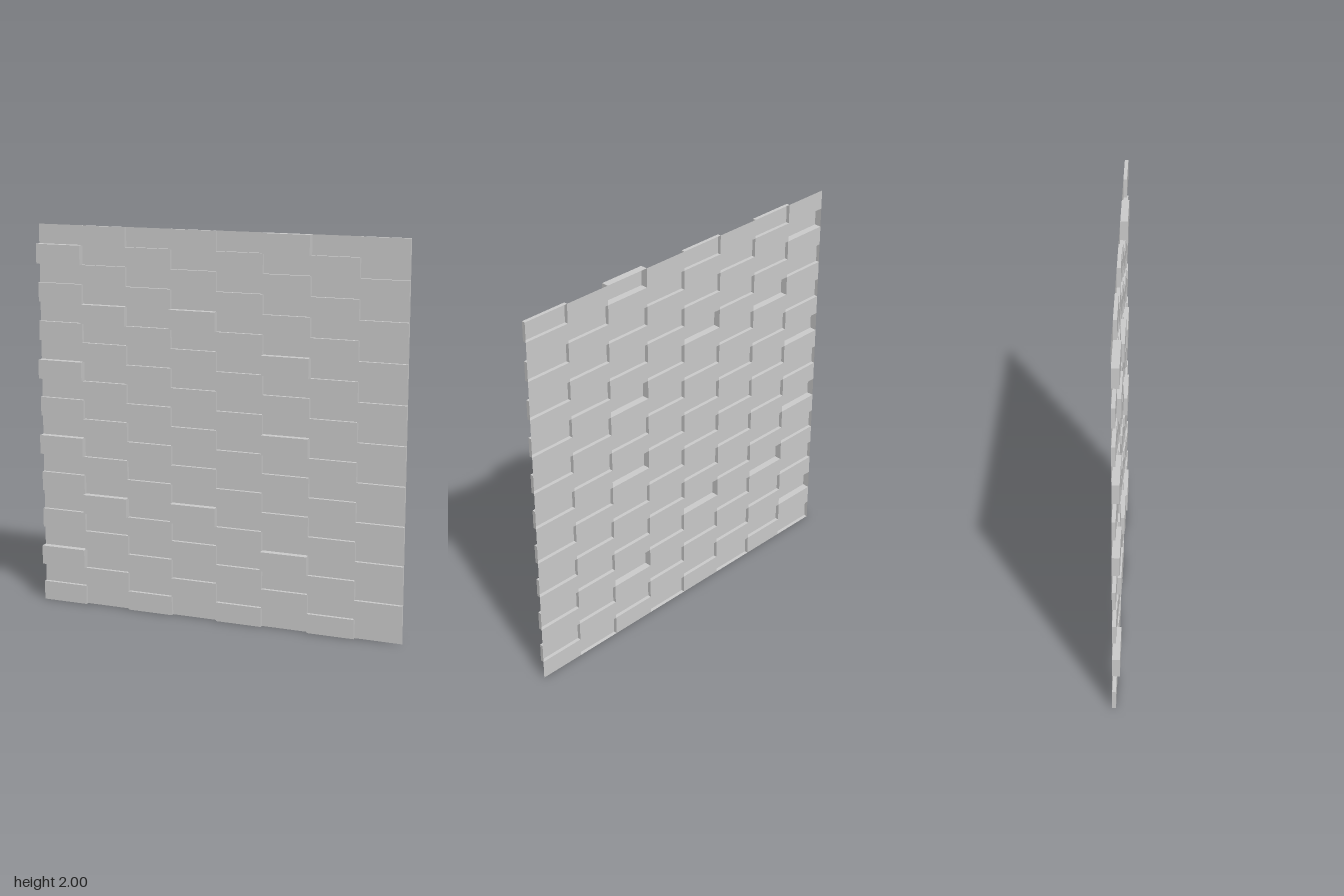
import * as THREE from 'three';

const COLS = 8, ROWS = 20;
const W = 1.976 / COLS, H = 2 / ROWS; // panel size
const STEP = 0.0185;                  // height of one relief level
const BACK = -STEP;                   // plane of the flat panels

// Rows (counted from the top, repeating every ten) that stand out twice as far
const TALL = { 0: [1, 7], 1: [4], 3: [4], 5: [0, 6] };

// Chequered relief: 0 flat, 1 raised, 2 raised twice as far
function levelOf(col, row) {
  if ((col + row) % 2 === 0) return 0;
  return (TALL[col] || []).includes(row % 10) ? 2 : 1;
}

// Shallow tray: a box without its back face, its rim on the flat plane
function trayGeometry(depth) {
  const box = new THREE.BoxGeometry(W, H, depth);
  box.setIndex(Array.from(box.index.array).slice(0, 30));
  box.clearGroups();
  return box.translate(0, 0, depth / 2);
}

export function createModel() {
  const model = new THREE.Group();
  model.name = 'reliefWall';
  const material = new THREE.MeshStandardMaterial({
    color: 0xcccccc, flatShading: true, side: THREE.DoubleSide,
  });
  const geometries = [new THREE.PlaneGeometry(W, H), trayGeometry(STEP), trayGeometry(2 * STEP)];
  const names = ['flatPanel', 'raisedPanel', 'tallPanel'];

  for (let col = 0; col < COLS; col++) {
    const column = new THREE.Group();
    column.name = `panelColumn${col + 1}`;
    column.position.x = (col + 0.5 - COLS / 2) * W;
    for (let row = 0; row < ROWS; row++) {
      const level = levelOf(col, row);
      const panel = new THREE.Mesh(geometries[level], material);
      panel.name = names[level];
      panel.position.set(0, (ROWS - row - 0.5) * H, BACK);
      column.add(panel);
    }
    model.add(column);
  }
  return model;
}
